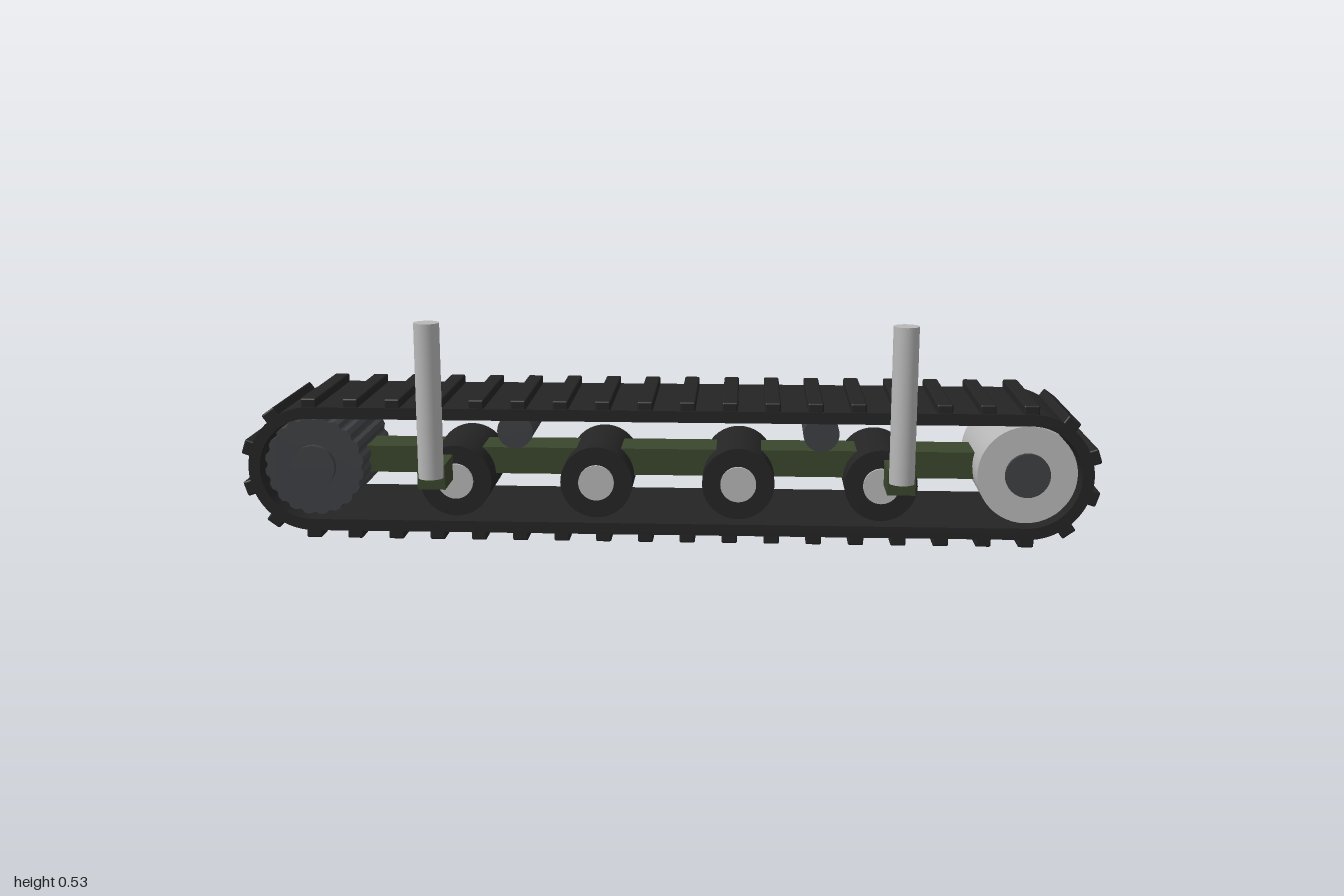
import * as THREE from 'three';
import { RoundedBoxGeometry } from 'three/addons/geometries/RoundedBoxGeometry.js';

const END = 0.834, MID_Y = 0.168, MID_Z = -0.045; // end wheel x, axle height, track middle
const mat = (color) => new THREE.MeshStandardMaterial({ color });
const rubber = mat(0x242424), dark = mat(0x3e4043), light = mat(0xb8b8b8), green = mat(0x3a462c);

function add(parent, name, geometry, material, x = 0, y = 0, z = 0) {
  const mesh = new THREE.Mesh(geometry, material);
  mesh.name = name;
  mesh.position.set(x, y, z);
  parent.add(mesh);
  return mesh;
}

// cylinder lying along z
const axial = (r, width, sides = 40) => new THREE.CylinderGeometry(r, r, width, sides).rotateX(Math.PI / 2);

// stadium outline with round ends
function stadium(target, r) {
  target.moveTo(-END, -r);
  target.lineTo(END, -r);
  target.absarc(END, 0, r, -Math.PI / 2, Math.PI / 2, false);
  target.lineTo(-END, r);
  target.absarc(-END, 0, r, Math.PI / 2, Math.PI * 1.5, false);
  return target;
}

function makeTrack() {
  const track = new THREE.Group();
  track.name = 'track';
  const shape = stadium(new THREE.Shape(), 0.148);
  shape.holes.push(stadium(new THREE.Path(), 0.121));
  const belt = new THREE.ExtrudeGeometry(shape, { depth: 0.332, bevelEnabled: false, curveSegments: 24 });
  add(track, 'belt', belt.translate(0, 0, -0.166), rubber);

  // cleats on the straight runs and around both ends
  const cleatShape = new RoundedBoxGeometry(0.036, 0.026, 0.322, 2, 0.004);
  const cleat = (cx, angle) => {
    const r = 0.155;
    const m = add(track, 'cleat', cleatShape, rubber, cx + r * Math.cos(angle), r * Math.sin(angle), 0);
    m.rotation.z = angle - Math.PI / 2;
  };
  for (let i = 0; i < 18; i++) {
    const x = -END + (2 * END * i) / 17;
    cleat(x, Math.PI / 2);
    cleat(x, -Math.PI / 2);
  }
  for (const deg of [-54, -18, 18, 54]) {
    const a = THREE.MathUtils.degToRad(deg);
    cleat(END, a);
    cleat(-END, Math.PI - a);
  }
  track.position.set(0, MID_Y, MID_Z);
  return track;
}

// toothed drive wheel
function sprocketGeometry(width) {
  const teeth = 20, points = [];
  for (let i = 0; i < teeth; i++) {
    [[0, 0.112], [0.25, 0.118], [0.6, 0.118], [0.85, 0.112]].forEach(([f, r]) => {
      const a = ((i + f) / teeth) * Math.PI * 2;
      points.push(new THREE.Vector2(r * Math.cos(a), r * Math.sin(a)));
    });
  }
  return new THREE.ExtrudeGeometry(new THREE.Shape(points), { depth: width, bevelEnabled: false })
    .translate(0, 0, -width / 2);
}

export function createModel() {
  const model = new THREE.Group();
  model.name = 'trackUnit';
  model.add(makeTrack());

  // drive sprocket and idler at the ends
  add(model, 'driveSprocket', sprocketGeometry(0.27), dark, -END, MID_Y, MID_Z);
  add(model, 'sprocketHub', axial(0.052, 0.3, 32), dark, -END, MID_Y, MID_Z);
  add(model, 'idlerWheel', axial(0.115, 0.28, 48), light, END, MID_Y, MID_Z);
  add(model, 'idlerHub', axial(0.052, 0.3, 32), dark, END, MID_Y, MID_Z);

  // road wheels on the lower run
  for (const x of [-0.5, -0.167, 0.167, 0.5]) {
    add(model, 'roadWheel', axial(0.085, 0.25), rubber, x, 0.134, MID_Z);
    add(model, 'roadWheelHub', axial(0.042, 0.265, 32), light, x, 0.134, MID_Z);
  }

  // side beam along the middle
  add(model, 'beam', new THREE.BoxGeometry(1.6, 0.064, 0.11), green, 0, MID_Y, MID_Z);

  // return rollers, mounting brackets and posts
  for (const side of [-1, 1]) {
    add(model, 'returnRoller', axial(0.042, 0.21, 32), dark, side * 0.36, 0.251, MID_Z);
    add(model, 'bracket', new THREE.BoxGeometry(0.064, 0.058, 0.213), green, side * 0.537, MID_Y, 0.0765);
    add(model, 'post', new THREE.CylinderGeometry(0.029, 0.029, 0.359, 32), light, side * 0.537, 0.3475, 0.183);
  }
  return model;
}
